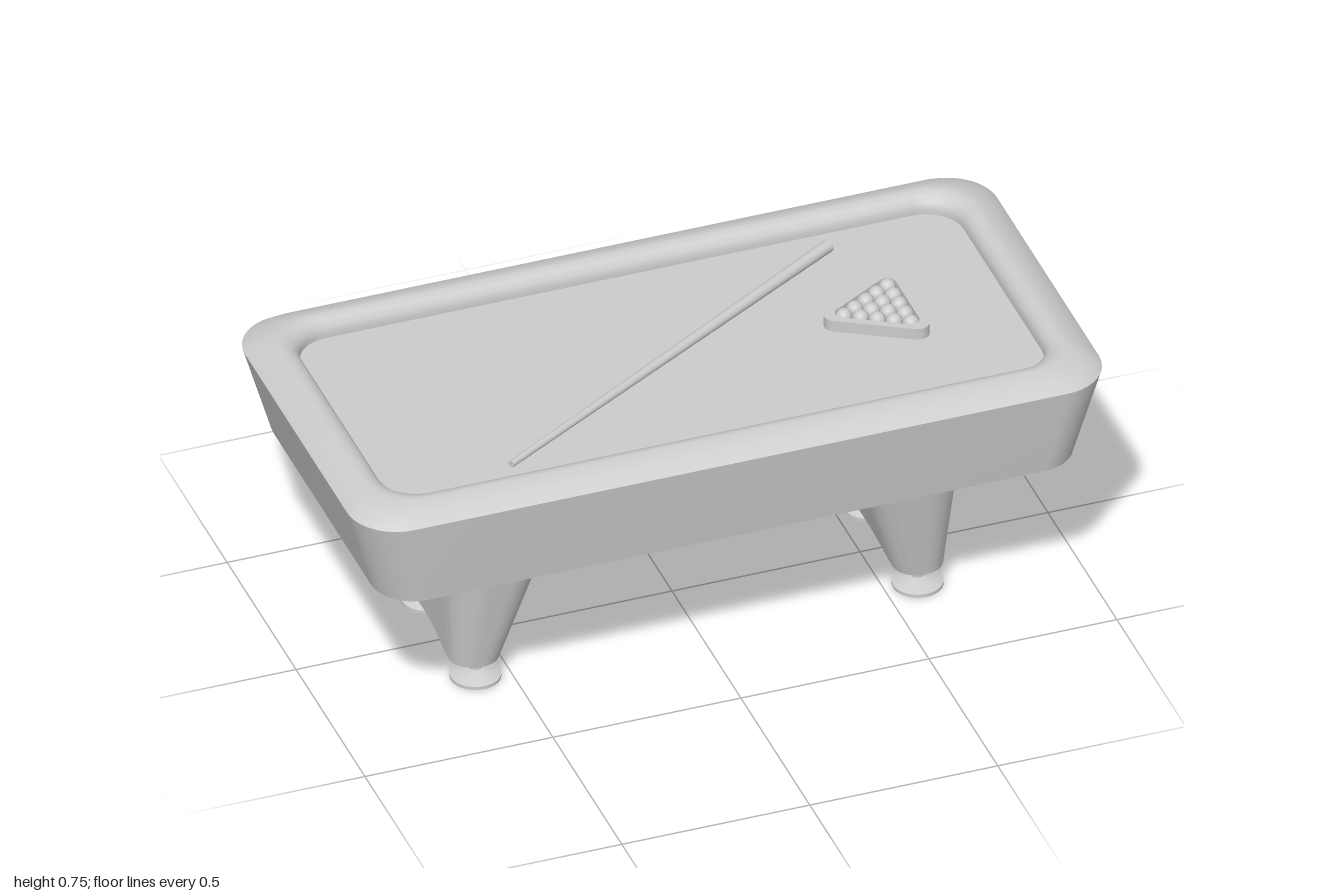
import * as THREE from 'three';
import { toCreasedNormals } from 'three/addons/utils/BufferGeometryUtils.js';

const grey = new THREE.MeshStandardMaterial({ color: 0xcccccc });
const BED = 0.705;

function add(parent, name, geometry) {
  const mesh = new THREE.Mesh(geometry, grey);
  mesh.name = name;
  parent.add(mesh);
  return mesh;
}

// Rounded rectangle ring; point i mirrors point N-1-i across x.
// cuts: extra points on the sides, as fractions of the straight half length.
function ring(hx, hz, r, y, cx = 0, cuts = []) {
  const half = [], steps = 10;
  const arc = (from, sign) => {
    for (let i = 0; i <= steps; i++) {
      const a = from - (i / steps) * Math.PI / 2;
      half.push([hx - r + r * Math.cos(a), sign * (hz - r) + r * Math.sin(a)]);
    }
  };
  arc(Math.PI / 2, 1);
  for (const c of cuts) half.push([hx, c * (hz - r)]);
  arc(0, -1);
  const other = half.map(([x, z]) => [-x, z]).reverse();
  return half.concat(other).map(([x, z]) => new THREE.Vector3(cx + x, y, z));
}

// Skin over rings, closed at the first and last ring.
function loft(rings, crease) {
  const n = rings[0].length, pos = [], index = [];
  for (const r of rings) for (const p of r) pos.push(p.x, p.y, p.z);
  const quad = (a, b, c, d) => index.push(a, b, c, a, c, d);
  for (let j = 0; j < rings.length - 1; j++) {
    for (let i = 0; i < n; i++) {
      const k = (i + 1) % n;
      quad(j * n + i, j * n + k, (j + 1) * n + k, (j + 1) * n + i);
    }
  }
  const top = (rings.length - 1) * n;
  for (let i = 0; i < n / 2 - 1; i++) {
    quad(n - 1 - i, n - 2 - i, i + 1, i);
    quad(top + i, top + i + 1, top + n - 2 - i, top + n - 1 - i);
  }
  const g = new THREE.BufferGeometry();
  g.setAttribute('position', new THREE.Float32BufferAttribute(pos, 3));
  g.setIndex(index);
  return toCreasedNormals(g, crease);
}

// Leg: tapered rounded block with an arch cut across its underside.
function legGeometry() {
  const arch = z => {
    const a = Math.abs(z);
    if (a >= 0.14) return 0.06;
    if (a >= 0.1) return 0.06 + (0.14 - a) * 0.5;
    return Math.min(0.097, 0.08 + (0.1 - a) * 0.017 / 0.065);
  };
  const cuts = [0.14, 0.1, 0.035, -0.035, -0.1, -0.14].map(z => z / 0.17);
  const low = ring(0.065, 0.23, 0.06, 0.06, 0.59, cuts);
  const high = ring(0.153, 0.319, 0.115, 0.492, 0.539, cuts);
  const foot = low.map((p, i) => p.clone().lerp(high[i], (arch(p.z) - 0.06) / 0.432));
  return loft([foot, high], 0.7);
}

// Rounded triangle pointing to -x, as an outline of corner arcs.
function triangle(R, r) {
  const pts = [];
  for (let k = 0; k < 3; k++) {
    const a = Math.PI + k * Math.PI * 2 / 3;
    for (let i = 0; i <= 8; i++) {
      const b = a + (i / 8 - 0.5) * Math.PI * 2 / 3;
      pts.push(new THREE.Vector2(R * Math.cos(a) + r * Math.cos(b), R * Math.sin(a) + r * Math.sin(b)));
    }
  }
  return pts;
}

export function createModel() {
  const model = new THREE.Group();
  model.name = 'poolTable';

  // Table body: underside recess, flared apron, cushioned rim and bed
  add(model, 'tableBody', loft([
    ring(0.9, 0.435, 0.085, 0.49),
    ring(0.9, 0.435, 0.085, 0.471),
    ring(0.93, 0.465, 0.11, 0.471),
    ring(1.0, 0.5, 0.13, 0.717),
    ring(0.974, 0.474, 0.125, 0.739),
    ring(0.93, 0.43, 0.12, 0.755),
    ring(0.915, 0.418, 0.115, 0.755),
    ring(0.897, 0.401, 0.11, 0.748),
    ring(0.885, 0.389, 0.105, 0.735),
    ring(0.88, 0.384, 0.1, 0.72),
    ring(0.88, 0.384, 0.1, BED),
  ], 0.7));

  // Two legs, each on a pair of levelling feet
  const legGeo = legGeometry();
  const footProfile = [[0, 0], [0.065, 0], [0.065, 0.009], [0.034, 0.021], [0.016, 0.027], [0.016, 0.07]];
  const footGeo = toCreasedNormals(
    new THREE.LatheGeometry(footProfile.map(p => new THREE.Vector2(...p)), 32), 0.6);
  for (const side of ['left', 'right']) {
    const support = new THREE.Group();
    support.name = side + 'Support';
    add(support, side + 'Leg', legGeo);
    for (const z of [0.178, -0.178]) add(support, 'levellingFoot', footGeo).position.set(0.588, 0, z);
    if (side === 'right') support.rotation.y = Math.PI;
    model.add(support);
  }

  // Cue lying diagonally on the bed, butt at the back left
  const tip = new THREE.Vector3(-0.54, BED + 0.009, 0.307);
  const butt = new THREE.Vector3(0.53, BED + 0.017, -0.31);
  const along = butt.clone().sub(tip);
  const cue = add(model, 'cue', new THREE.CylinderGeometry(0.017, 0.009, along.length(), 20));
  cue.position.copy(tip).add(butt).multiplyScalar(0.5);
  cue.quaternion.setFromUnitVectors(new THREE.Vector3(0, 1, 0), along.normalize());

  // Triangular rack with fifteen balls
  const rackSet = new THREE.Group();
  rackSet.name = 'rackSet';
  rackSet.position.set(0.555, BED, 0);
  const shape = new THREE.Shape(triangle(0.12, 0.03));
  shape.holes.push(new THREE.Path(triangle(0.098, 0.022)));
  const rackGeo = new THREE.ExtrudeGeometry(shape, { depth: 0.032, bevelEnabled: false });
  rackGeo.rotateX(-Math.PI / 2);
  add(rackSet, 'rack', toCreasedNormals(rackGeo, 0.6));
  const ballGeo = new THREE.SphereGeometry(0.0213, 24, 16);
  for (let row = 0; row < 5; row++) {
    for (let i = 0; i <= row; i++) {
      add(rackSet, 'ball', ballGeo).position.set(-0.098 + row * 0.0368, 0.0213, (i - row / 2) * 0.0425);
    }
  }
  model.add(rackSet);
  return model;
}
